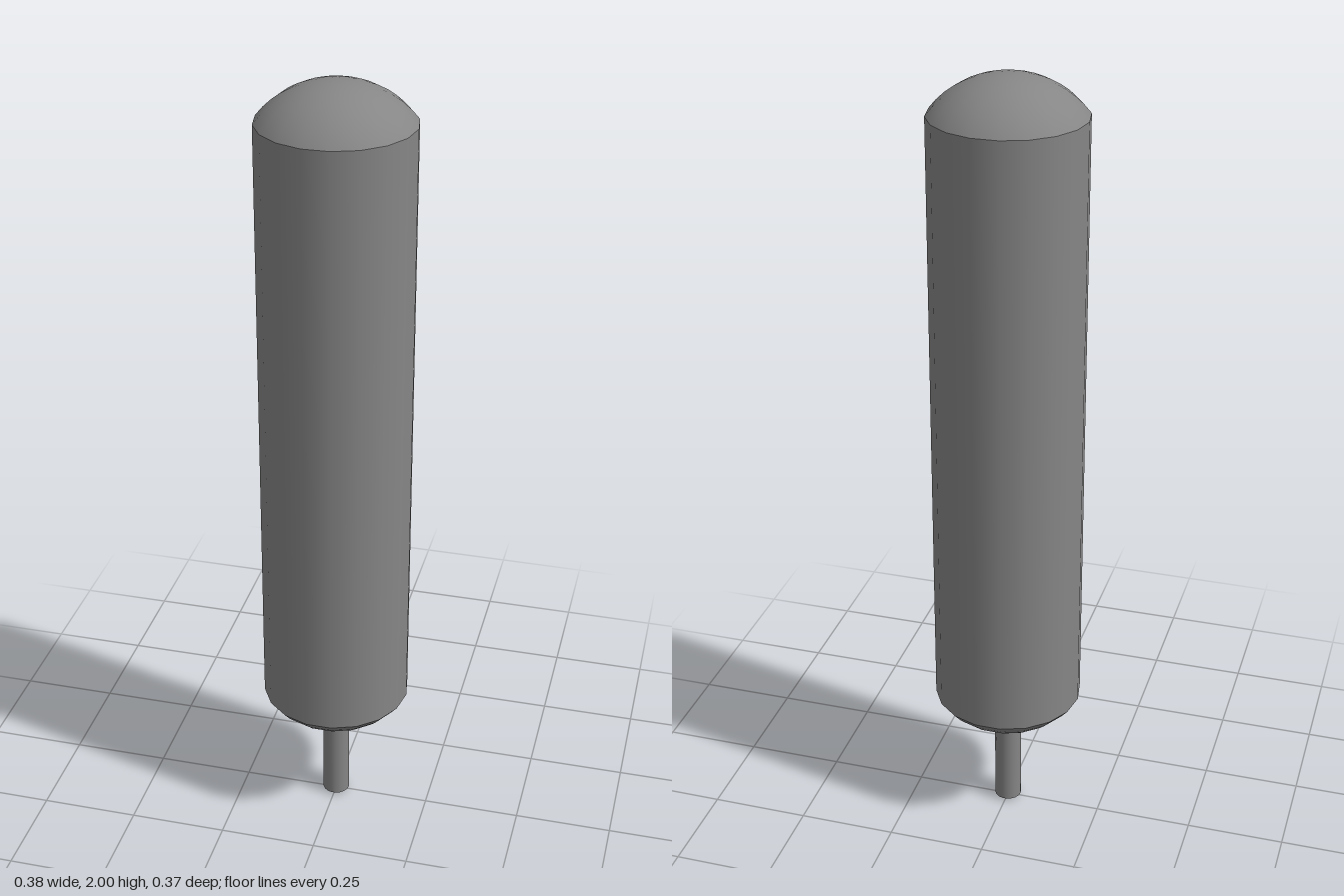
import * as THREE from 'three';

const SIDES = 18;
const RADIUS = 0.19;
const BODY_BOTTOM = 0.347;
const BODY_TOP = 1.905;
const DOME_HEIGHT = 0.095;
const STEM_RADIUS = 0.035;
const STEM_BOTTOM = 0.007;
const STEM_TOP = 0.27;

export function createModel() {
  const model = new THREE.Group();
  const material = new THREE.MeshStandardMaterial({ color: 0x868686 });

  const add = (name, geometry, y) => {
    const mesh = new THREE.Mesh(geometry, material);
    mesh.name = name;
    mesh.position.y = y;
    model.add(mesh);
    return mesh;
  };

  // upright open cylinder with a corner on the x axis
  const column = (radius, bottom, top) =>
    new THREE.CylinderGeometry(radius, radius, top - bottom, SIDES, 1, true, Math.PI / 2);

  // shallow spherical cap with its rim at local y = 0
  const cap = (radius, height, rings) => {
    const sphere = (radius ** 2 + height ** 2) / (2 * height);
    return new THREE.SphereGeometry(
      sphere, SIDES, rings, 0, Math.PI * 2, 0, Math.asin(radius / sphere)
    ).translate(0, height - sphere, 0);
  };

  // long body with a dome on each end
  add('body', column(RADIUS, BODY_BOTTOM, BODY_TOP), (BODY_TOP + BODY_BOTTOM) / 2);
  const dome = cap(RADIUS, DOME_HEIGHT, 8);
  add('topDome', dome, BODY_TOP);
  add('bottomDome', dome, BODY_BOTTOM).rotation.x = Math.PI;

  // thin stem reaching into the lower dome, with a slightly rounded foot
  add('stem', column(STEM_RADIUS, STEM_BOTTOM, STEM_TOP), (STEM_TOP + STEM_BOTTOM) / 2);
  add('stemFoot', cap(STEM_RADIUS, STEM_BOTTOM, 3), STEM_BOTTOM).rotation.x = Math.PI;

  return model;
}
